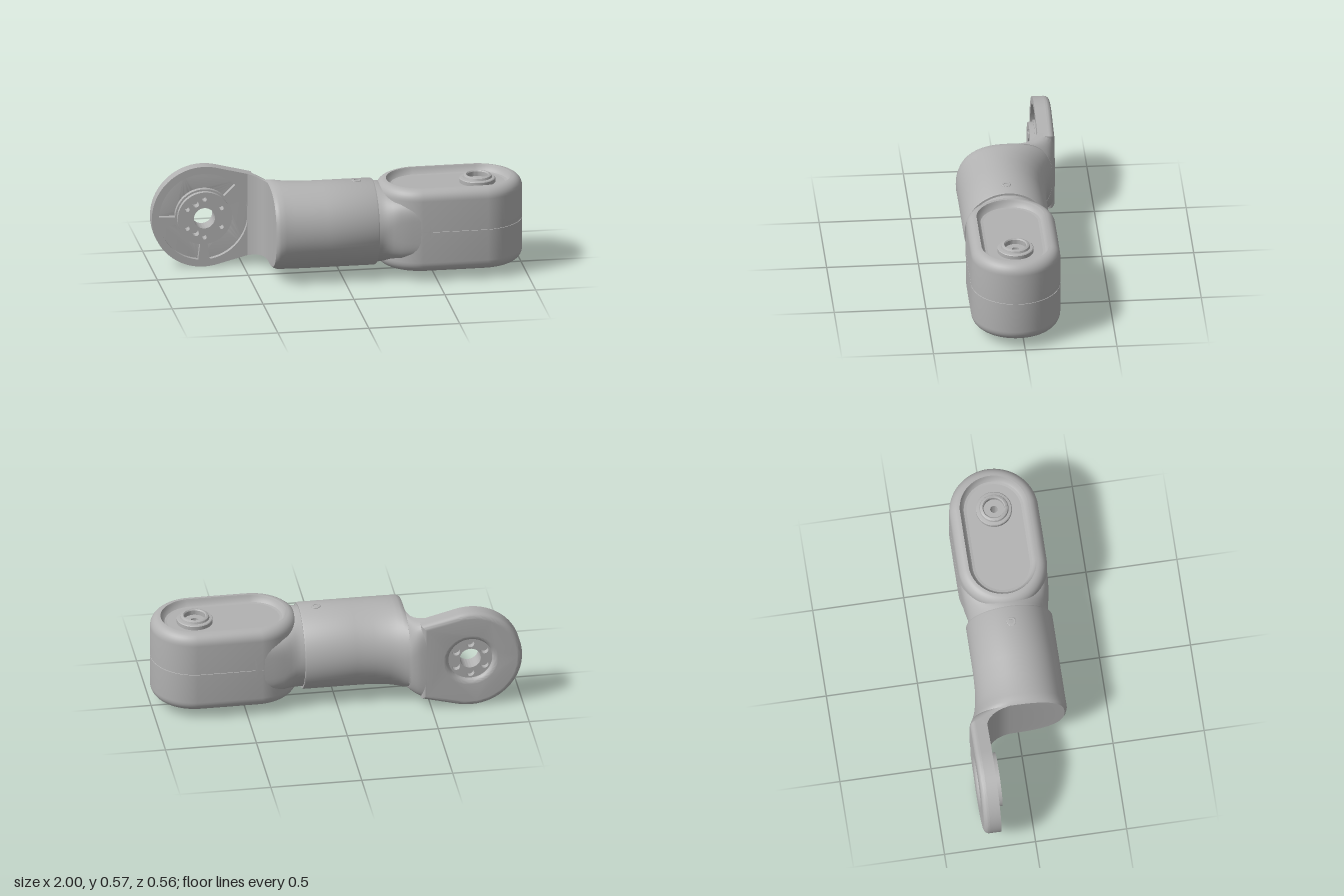
import * as THREE from 'three';
import { toCreasedNormals } from 'three/addons/utils/BufferGeometryUtils.js';

const grey = new THREE.MeshStandardMaterial({ color: 0xb2b2b2 });
grey.name = 'satin grey';
const MID = 0.285; // height of the arm's axis

function part(name, geometry, crease = 0.55) {
  const mesh = new THREE.Mesh(toCreasedNormals(geometry, crease), grey);
  mesh.name = name;
  return mesh;
}

// Loft along -x. Each station: x, back z, middle z, front z, half height, squareness
function loft(stations, sides = 72) {
  const pos = [], idx = [];
  for (const [x, back, mid, front, h, n] of stations) {
    for (let j = 0; j < sides; j++) {
      const t = (j / sides) * Math.PI * 2;
      const bend = v => Math.sign(v) * Math.pow(Math.abs(v), 2 / n);
      const c = bend(Math.cos(t)), s = bend(Math.sin(t));
      pos.push(x, MID + h * s, mid + (c < 0 ? mid - back : front - mid) * c);
    }
  }
  for (let i = 0; i < stations.length - 1; i++) {
    for (let j = 0; j < sides; j++) {
      const k = (j + 1) % sides;
      const a = i * sides + j, b = i * sides + k, c = a + sides, d = b + sides;
      idx.push(a, b, c, b, d, c);
    }
  }
  const g = new THREE.BufferGeometry();
  g.setAttribute('position', new THREE.Float32BufferAttribute(pos, 3));
  g.setIndex(idx);
  return g;
}

const lathe = (points, segments = 48) =>
  new THREE.LatheGeometry(points.map(([r, y]) => new THREE.Vector2(r, y)), segments);

const circle = (r, x = 0, y = 0, Type = THREE.Path) => new Type().absarc(x, y, r, 0, Math.PI * 2, false);

function slab(shape, z0, z1) {
  return new THREE.ExtrudeGeometry(shape, { depth: z1 - z0, bevelEnabled: false, curveSegments: 36 }).translate(0, 0, z0);
}

// Round flange with arc pockets, drawn around its own centre
function makeFlange() {
  const flange = new THREE.Group();
  flange.name = 'flange';
  flange.position.set(-0.715, MID, 0);

  // Disc with two tangents running towards the tube
  const outline = () => {
    const s = new THREE.Shape();
    s.moveTo(0.27, 0.225);
    s.lineTo(0.27, -0.225);
    s.absarc(0, 0, 0.285, -1.32, 1.32, true);
    s.closePath();
    return s;
  };
  const back = outline();
  back.holes.push(circle(0.12));
  const backGeo = new THREE.ExtrudeGeometry(back, {
    depth: 0.005, bevelThickness: 0.03, bevelSize: 0.03, bevelOffset: -0.03, bevelSegments: 7, curveSegments: 40,
  }).translate(0, 0, -0.25);
  flange.add(part('flangeBack', backGeo));

  const front = outline();
  front.holes.push(circle(0.14));
  for (const [from, to] of [[45, 178], [-82, 22], [-167, -97]]) {
    const a = THREE.MathUtils.degToRad(from), b = THREE.MathUtils.degToRad(to);
    const pocket = new THREE.Path();
    pocket.absarc(0, 0, 0.245, a, b, false);
    pocket.absarc(0, 0, 0.157, b, a, true);
    pocket.closePath();
    front.holes.push(pocket);
  }
  flange.add(part('flangeFront', slab(front, -0.25, -0.187)));

  // Hub: drilled front face, plain core, counterbored back
  const hubDisc = (radius, drillRadius, ringRadius) => {
    const s = circle(radius, 0, 0, THREE.Shape);
    s.holes.push(circle(0.058));
    for (let i = 0; drillRadius && i < 6; i++) {
      const a = Math.PI / 6 + (i * Math.PI) / 3;
      s.holes.push(circle(drillRadius, ringRadius * Math.cos(a), ringRadius * Math.sin(a)));
    }
    return s;
  };
  const hubFront = hubDisc(0.147, 0.013, 0.108);
  for (const side of [1, -1]) hubFront.holes.push(circle(0.018, -0.047, side * 0.082));
  flange.add(part('hubFront', slab(hubFront, -0.215, -0.16)));
  flange.add(part('hubCore', slab(hubDisc(0.147), -0.225, -0.213)));
  flange.add(part('hubBack', slab(hubDisc(0.125, 0.022, 0.09), -0.255, -0.225)));
  return flange;
}

// Capsule housing: a lathe profile pulled apart along x
function makeHousing() {
  const housing = new THREE.Group();
  housing.name = 'housing';
  const half = 0.1575, R = 0.243, H = 0.235, floor = 0.197;
  housing.position.set(0.5975, MID, 0.033);

  const lower = [[0.15, -floor], [0.164, -0.199], [0.174, -0.208], [0.182, -0.226], [0.186, -H]];
  for (let i = 1; i <= 8; i++) {
    const t = (i / 8) * Math.PI / 2;
    lower.push([0.187 + 0.056 * Math.sin(t), -H + 0.06 * (1 - Math.cos(t))]);
  }
  lower.push([R, -0.002], [R - 0.003, -0.001]); // seam
  const profile = [...lower, ...lower.map(([r, y]) => [r, -y]).reverse()];
  const shell = lathe(profile, 72);
  const p = shell.attributes.position;
  for (let i = 0; i < p.count; i++) {
    const x = p.getX(i);
    if (Math.abs(x) > 1e-5) p.setX(i, x + Math.sign(x) * half);
  }
  housing.add(part('housingShell', shell));

  // Recess floors, open under the pivot bore
  const stadium = new THREE.Shape();
  stadium.absarc(half, 0, 0.152, -Math.PI / 2, Math.PI / 2, false);
  stadium.absarc(-half, 0, 0.152, Math.PI / 2, Math.PI * 1.5, false);
  stadium.closePath();
  stadium.holes.push(circle(0.05, half));
  for (const side of [1, -1]) {
    const g = new THREE.ShapeGeometry(stadium, 32).rotateX(-side * Math.PI / 2).translate(0, side * floor, 0);
    housing.add(part(side > 0 ? 'topRecessFloor' : 'bottomRecessFloor', g));
  }

  // Pivot boss, running right through with a small bore
  const bossTop = [
    [0.098, 0.18], [0.098, 0.218], [0.094, 0.222], [0.08, 0.224], [0.076, 0.235],
    [0.07, 0.239], [0.062, 0.24], [0.057, 0.234], [0.057, 0.208], [0.02, 0.208],
  ];
  const bossProfile = [...bossTop.map(([r, y]) => [r, -y]).reverse(), ...bossTop, [0.02, -0.208]];
  const boss = part('pivotBoss', lathe(bossProfile));
  boss.position.x = half;
  housing.add(boss);
  return housing;
}

export function createModel() {
  const model = new THREE.Group();
  model.name = 'armLink';

  // Tube whose back wall sweeps out into the flange
  model.add(part('tubeArm', loft([
    [0.182, -0.192, 0.03, 0.252, 0.222, 2],
    [0.182, -0.203, 0.03, 0.263, 0.233, 2],
    [0.174, -0.207, 0.03, 0.267, 0.237, 2],
    [-0.1, -0.208, 0.03, 0.267, 0.237, 2],
    [-0.2, -0.213, 0.03, 0.267, 0.237, 2],
    [-0.28, -0.225, 0.02, 0.267, 0.237, 2.05],
    [-0.33, -0.239, 0.005, 0.267, 0.237, 2.15],
    [-0.36, -0.252, -0.01, 0.267, 0.235, 2.3],
    [-0.375, -0.258, -0.02, 0.26, 0.229, 2.45],
    [-0.385, -0.262, -0.03, 0.25, 0.221, 2.6],
    [-0.385, -0.262, -0.05, -0.05, 0.221, 2.6],
    [-0.392, -0.266, -0.085, -0.085, 0.218, 2.8],
    [-0.403, -0.27, -0.118, -0.118, 0.217, 3.1],
    [-0.42, -0.276, -0.147, -0.147, 0.22, 3.6],
    [-0.445, -0.28, -0.172, -0.172, 0.226, 4.4],
    [-0.475, -0.28, -0.188, -0.188, 0.233, 5],
  ])));

  // Neck blending the tube into the housing
  model.add(part('neck', loft([
    [0.46, -0.2098, 0.033, 0.2755, 0.175, 5],
    [0.36, -0.206, 0.033, 0.272, 0.18, 4.6],
    [0.3, -0.2, 0.033, 0.265, 0.186, 4],
    [0.26, -0.194, 0.031, 0.257, 0.194, 3],
    [0.23, -0.19, 0.03, 0.251, 0.212, 2.3],
    [0.2, -0.19, 0.03, 0.25, 0.221, 2],
    [0.16, -0.192, 0.03, 0.252, 0.222, 2],
  ])));

  // Small ring-shaped bushings above and below the tube
  for (const side of [1, -1]) {
    const bushing = part(side > 0 ? 'topBushing' : 'bottomBushing',
      lathe([[0.026, -0.02], [0.026, 0.003], [0.023, 0.005], [0.013, 0.005], [0.011, -0.02]], 24));
    bushing.position.set(0.09, MID + side * 0.235, 0.03);
    if (side < 0) bushing.rotation.x = Math.PI;
    model.add(bushing);
  }

  model.add(makeFlange(), makeHousing());
  return model;
}
